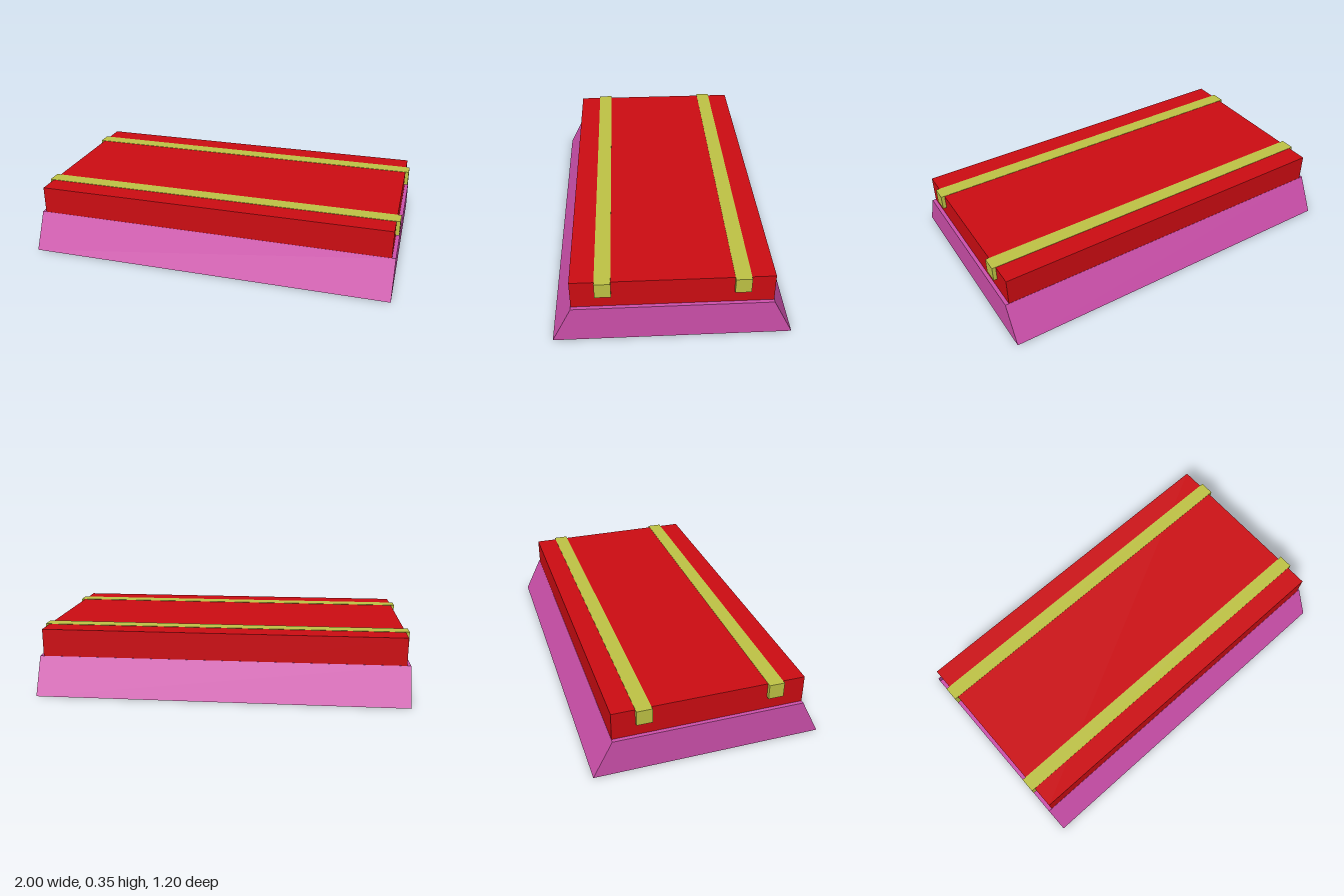
import * as THREE from 'three';

const paint = (color) => new THREE.MeshStandardMaterial({ color, side: THREE.DoubleSide });

// Hollow plinth: a box without its underside, its long sides sloping in to the top
function plinthGeometry(length, height, bottomDepth, topDepth) {
  const geo = new THREE.BoxGeometry(length, height, bottomDepth);
  const pos = geo.attributes.position;
  for (let i = 0; i < pos.count; i++) {
    if (pos.getY(i) > 0) pos.setZ(i, Math.sign(pos.getZ(i)) * topDepth / 2);
  }
  // faces come in the order +x, -x, +y, -y, +z, -z, six indices each
  const index = Array.from(geo.index.array);
  index.splice(18, 6);
  geo.setIndex(index);
  geo.clearGroups();
  geo.computeVertexNormals();
  return geo.translate(0, height / 2, 0);
}

export function createModel() {
  const model = new THREE.Group();
  model.name = 'railedBlock';

  const add = (name, geometry, material, y = 0, z = 0) => {
    const mesh = new THREE.Mesh(geometry, material);
    mesh.name = name;
    mesh.position.set(0, y, z);
    model.add(mesh);
  };

  // Sloped skirt around the foot
  add('plinth', plinthGeometry(2, 0.2, 1.2, 1.0), paint(0xcc4faa));

  // Main block, reaching down through the hollow plinth
  add('block', new THREE.BoxGeometry(1.96, 0.345, 0.998), paint(0xcc0c12), 0.1775);

  // Two rails let into the top, ends standing slightly proud
  const railMaterial = paint(0xbec244);
  for (const [name, side] of [['frontRail', 1], ['backRail', -1]]) {
    add(name, new THREE.BoxGeometry(2, 0.081, 0.08), railMaterial, 0.3115, side * 0.34);
  }

  return model;
}
